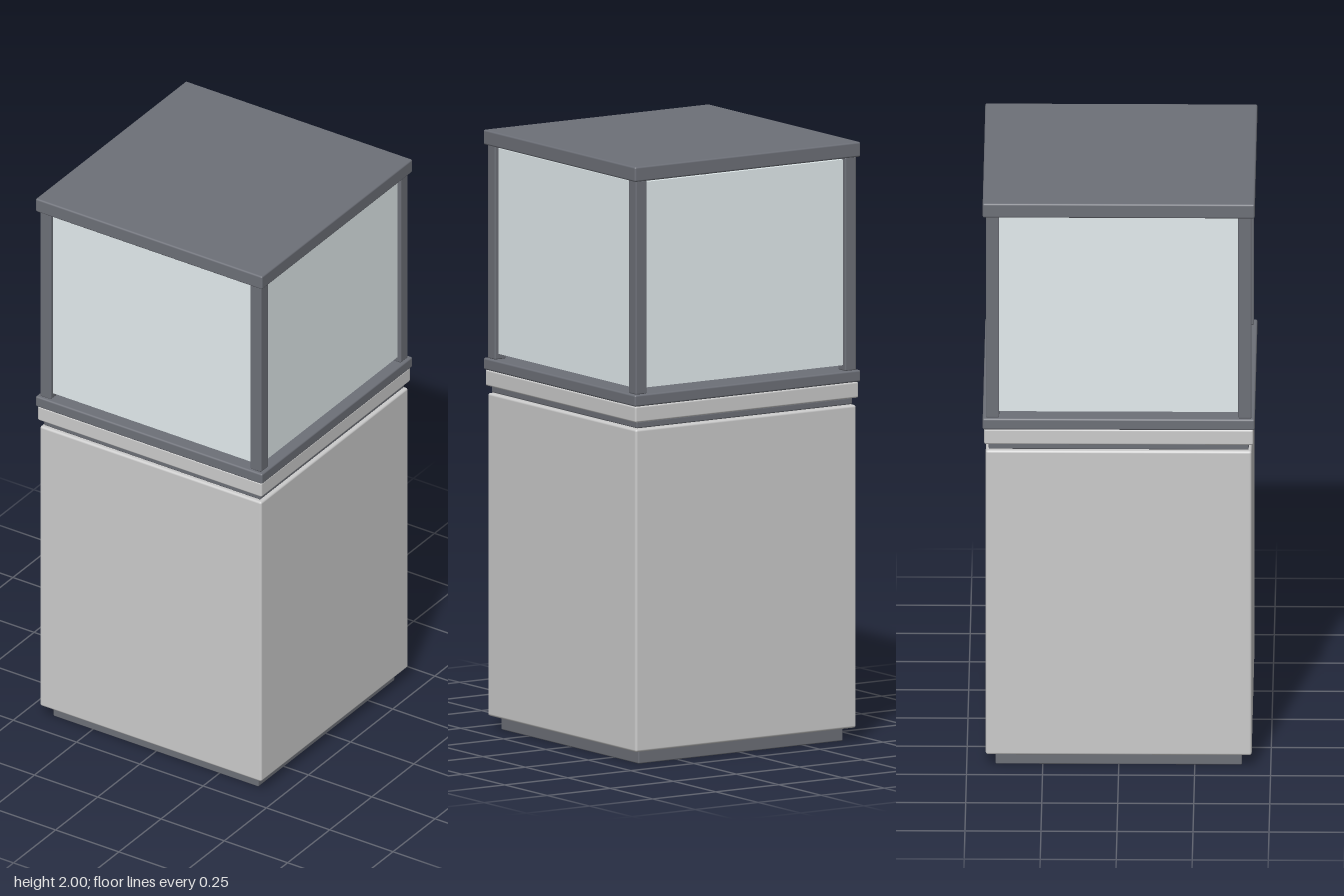
import * as THREE from 'three';
import { RoundedBoxGeometry } from 'three/addons/geometries/RoundedBoxGeometry.js';

const grey = new THREE.MeshStandardMaterial({ color: 0xcccccc });
const dark = new THREE.MeshStandardMaterial({ color: 0x6d7078 });
const glass = new THREE.MeshStandardMaterial({ color: 0xe4edef });
const clay = new THREE.MeshStandardMaterial({ color: 0xb3a48c, side: THREE.DoubleSide });
const blue = new THREE.MeshStandardMaterial({ color: 0x3f72a8, side: THREE.DoubleSide });

export function createModel() {
  const model = new THREE.Group();
  model.name = 'displayCase';

  const add = (name, geometry, material, x = 0, y = 0, z = 0) => {
    const mesh = new THREE.Mesh(geometry, material);
    mesh.name = name;
    mesh.position.set(x, y, z);
    model.add(mesh);
    return mesh;
  };

  // Square slab between two heights, with softened edges
  const slab = (name, width, y0, y1, material, radius) =>
    add(name, new RoundedBoxGeometry(width, y1 - y0, width, 2, radius), material, 0, (y0 + y1) / 2, 0);

  // Pedestal, from the floor up
  slab('plinth', 0.81, 0, 0.05, dark, 0.004);
  slab('pedestalBody', 0.875, 0.045, 1.122, grey, 0.008);
  slab('shadowGapLower', 0.83, 1.115, 1.13, dark, 0.002);
  slab('shadowGap', 0.855, 1.124, 1.146, dark, 0.004);
  slab('pedestalTrim', 0.885, 1.146, 1.2, grey, 0.006);
  slab('caseFloor', 0.895, 1.2, 1.239, dark, 0.006);

  // Roof
  slab('caseRoof', 0.895, 1.95, 2, dark, 0.006);

  // Corner posts
  for (const sx of [-1, 1]) {
    for (const sz of [-1, 1]) {
      add('cornerPost', new RoundedBoxGeometry(0.044, 0.715, 0.044, 2, 0.005), dark, sx * 0.415, 1.595, sz * 0.415);
    }
  }

  // Glass panes, with a small gap above and below
  for (let i = 0; i < 4; i++) {
    const angle = (i * Math.PI) / 2;
    const pane = add('glassPane', new THREE.BoxGeometry(0.79, 0.686, 0.012), glass,
      Math.sin(angle) * 0.418, 1.6, Math.cos(angle) * 0.418);
    pane.rotation.y = angle;
  }

  // Exhibits standing on the case floor
  const turned = (points) => new THREE.LatheGeometry(
    points.map(([r, y]) => new THREE.Vector2(r, y)), 32);
  add('clayDish', turned([[0, 0], [0.1, 0], [0.116, 0.008], [0.122, 0.02], [0.122, 0.035],
    [0.112, 0.035], [0.105, 0.02], [0, 0.015]]), clay, -0.088, 1.239, 0.047);
  add('blueCup', turned([[0, 0], [0.058, 0], [0.067, 0.008], [0.07, 0.03], [0.07, 0.1],
    [0.062, 0.1], [0.06, 0.02], [0, 0.015]]), blue, 0.136, 1.239, -0.067);

  return model;
}
